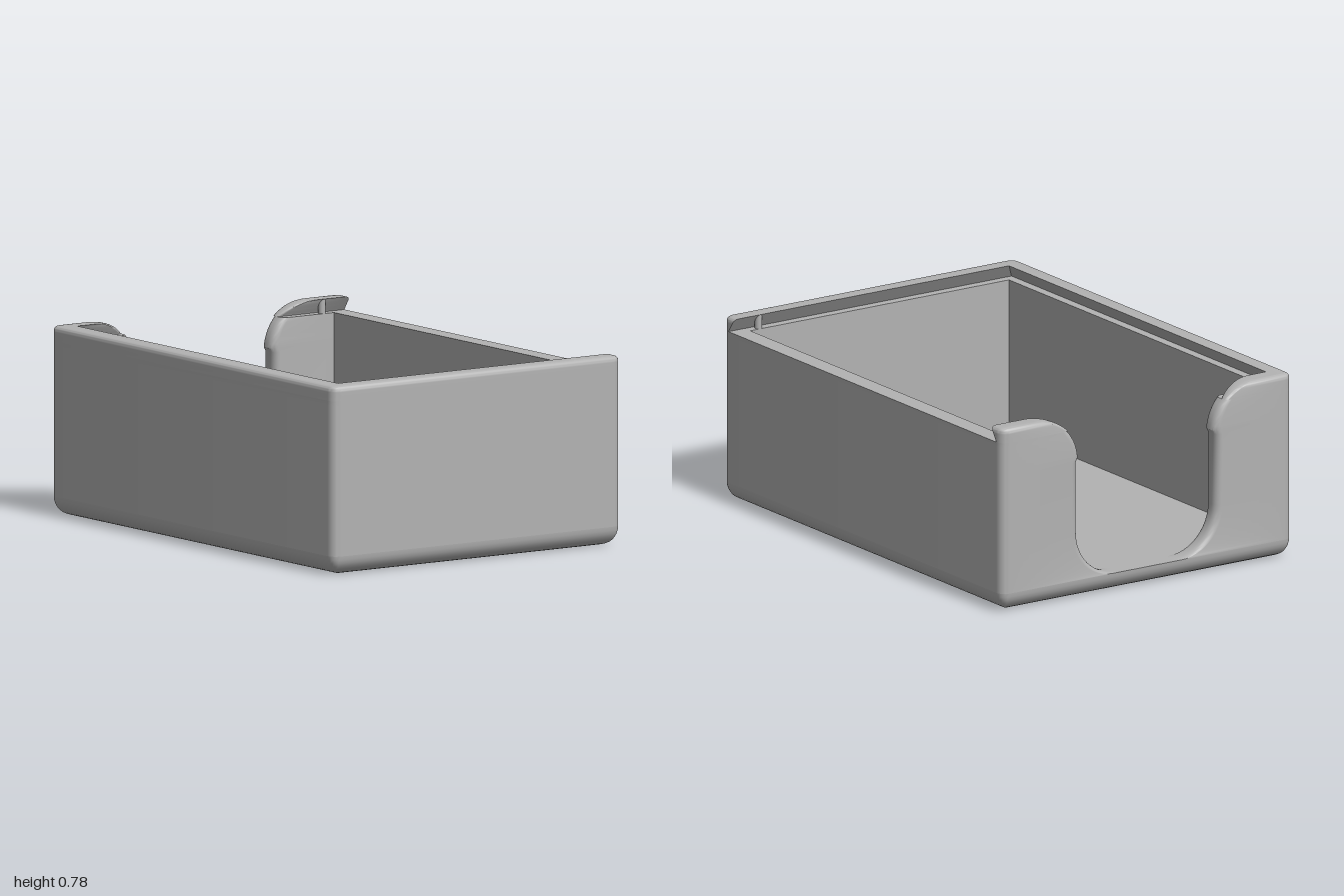
import * as THREE from 'three';
import { toCreasedNormals } from 'three/addons/utils/BufferGeometryUtils.js';

const HX = 1, HZ = 0.72;          // half width, half depth
const WALL = 0.08, CORNER = 0.04; // wall thickness, vertical edge radius
const LEDGE = 0.72, TOP = 0.78;   // lid ledge and rim heights
const PI = Math.PI;

// Arc in plan, counterclockwise from above; points are [x, z]
function arc(cx, cz, r, from, n = 6) {
  return Array.from({ length: n + 1 }, (_, i) => {
    const a = from + (i / n) * PI / 2;
    return [cx + r * Math.cos(a), cz - r * Math.sin(a)];
  });
}

// Rounded outer corner, inset by o
function corner(sx, sz, o, from) {
  const r = Math.max(CORNER - o, 0.002);
  return arc(sx * (HX - o - r), sz * (HZ - o - r), r, from);
}
const frontLeftArc = o => corner(-1, 1, o, PI);
const frontRightArc = o => corner(1, 1, o, 1.5 * PI);
const backRightArc = o => corner(1, -1, o, 0);
const backLeftArc = o => corner(-1, -1, o, PI / 2);

// Rounded wall ends on either side of the U-shaped cutout
function frontEnd(c, o, th) {
  const r = (th - o) * 0.4;
  return [...arc(-HX + th - r, c + r, r, 0), ...arc(-HX + o + r, c + r, r, PI / 2)];
}
function backEnd(c, o, th) {
  const r = (th - o) * 0.4;
  return [...arc(-HX + o + r, -c - r, r, PI), ...arc(-HX + th - r, -c - r, r, 1.5 * PI)];
}

// Half width of the cutout at height y: bottom fillet, straight, flared top
function cutout(y) {
  if (y < 0.28) return 0.14 + Math.sqrt(Math.max(0, 0.04 - (0.28 - y) ** 2));
  if (y > 0.58) return 0.53 - Math.sqrt(Math.max(0, 0.04 - (y - 0.58) ** 2));
  return 0.34;
}

// Skin between plan outlines stacked in height, with optional caps
function loft(levels, capTop, capBottom) {
  const pos = [], idx = [], n = levels[0].ring.length;
  levels.forEach(({ y, ring }) => ring.forEach(([x, z]) => pos.push(x, y, z)));
  for (let k = 0; k < levels.length - 1; k++) {
    for (let i = 0; i < n; i++) {
      const a = k * n + i, b = k * n + (i + 1) % n;
      idx.push(a, b, b + n, a, b + n, a + n);
    }
  }
  const cap = (k, flip) => {
    const pts = levels[k].ring.map(([x, z]) => new THREE.Vector2(x, -z));
    for (const [a, b, c] of THREE.ShapeUtils.triangulateShape(pts, [])) {
      if (flip) idx.push(k * n + a, k * n + c, k * n + b);
      else idx.push(k * n + a, k * n + b, k * n + c);
    }
  };
  if (capTop) cap(levels.length - 1, false);
  if (capBottom) cap(0, true);
  const g = new THREE.BufferGeometry();
  g.setAttribute('position', new THREE.Float32BufferAttribute(pos, 3));
  g.setIndex(idx);
  return toCreasedNormals(g, 0.6);
}

export function createModel() {
  const model = new THREE.Group();
  const grey = new THREE.MeshStandardMaterial({ color: 0xb3b3b3 });
  grey.name = 'grey plastic';
  const add = (name, geometry) => {
    const mesh = new THREE.Mesh(geometry, grey);
    mesh.name = name;
    model.add(mesh);
    return mesh;
  };

  // Floor slab with a rounded lower edge
  const base = [];
  for (let i = 0; i <= 8; i++) {
    const a = (i / 8) * PI / 2, o = WALL * (1 - Math.sin(a));
    base.push({
      y: WALL * (1 - Math.cos(a)),
      ring: [...frontLeftArc(o), ...frontRightArc(o), ...backRightArc(o), ...backLeftArc(o)],
    });
  }
  add('floor', loft(base, true, true));

  // Walls up to the lid ledge, open at the cutout
  const ix = HX - WALL, iz = HZ - WALL, walls = [];
  const heights = [];
  for (let i = 0; i <= 12; i++) heights.push(0.28 - 0.2 * Math.cos((i / 12) * PI / 2));
  for (let i = 0; i <= 8; i++) heights.push(0.58 + (LEDGE - 0.58) * i / 8);
  for (const y of heights) {
    const c = cutout(y);
    walls.push({
      y,
      ring: [
        ...frontEnd(c, 0, WALL), ...frontLeftArc(0), ...frontRightArc(0),
        ...backRightArc(0), ...backLeftArc(0), ...backEnd(c, 0, WALL),
        [-ix, -iz], [ix, -iz], [ix, iz], [-ix, iz],
      ],
    });
  }
  add('walls', loft(walls, true, false));

  // Undercut rim that holds a sliding lid, open at the back
  const rim = [], ear = [];
  for (let i = 0; i <= 12; i++) {
    const a = (i / 12) * PI / 2;
    const y = LEDGE + (TOP - LEDGE) * Math.sin(a);
    const th = 0.04 + 0.04 * (y - LEDGE) / (TOP - LEDGE);
    const up = Math.max(0, y - (TOP - 0.02));
    const o = 0.02 - Math.sqrt(Math.max(0, 0.0004 - up * up));
    const c = cutout(y);
    rim.push({
      y,
      ring: [
        ...frontEnd(c, o, th), ...frontLeftArc(o), ...frontRightArc(o), ...backRightArc(o),
        [HX - th, -HZ + o], [HX - th, HZ - th], [-HX + th, HZ - th],
      ],
    });
    ear.push({ y, ring: [...backLeftArc(o), ...backEnd(c, o, th), [-HX + th, -HZ + o]] });
  }
  add('lidRim', loft(rim, true, false));
  add('backRimEar', loft(ear, true, false));

  // Small catches for the lid near the back corners
  for (const s of [-1, 1]) {
    const pin = add(s < 0 ? 'rightLidCatch' : 'leftLidCatch',
      new THREE.CylinderGeometry(0.015, 0.015, TOP - LEDGE, 16));
    pin.position.set(s * 0.935, (TOP + LEDGE) / 2 - 0.002, -0.59);
  }
  return model;
}
